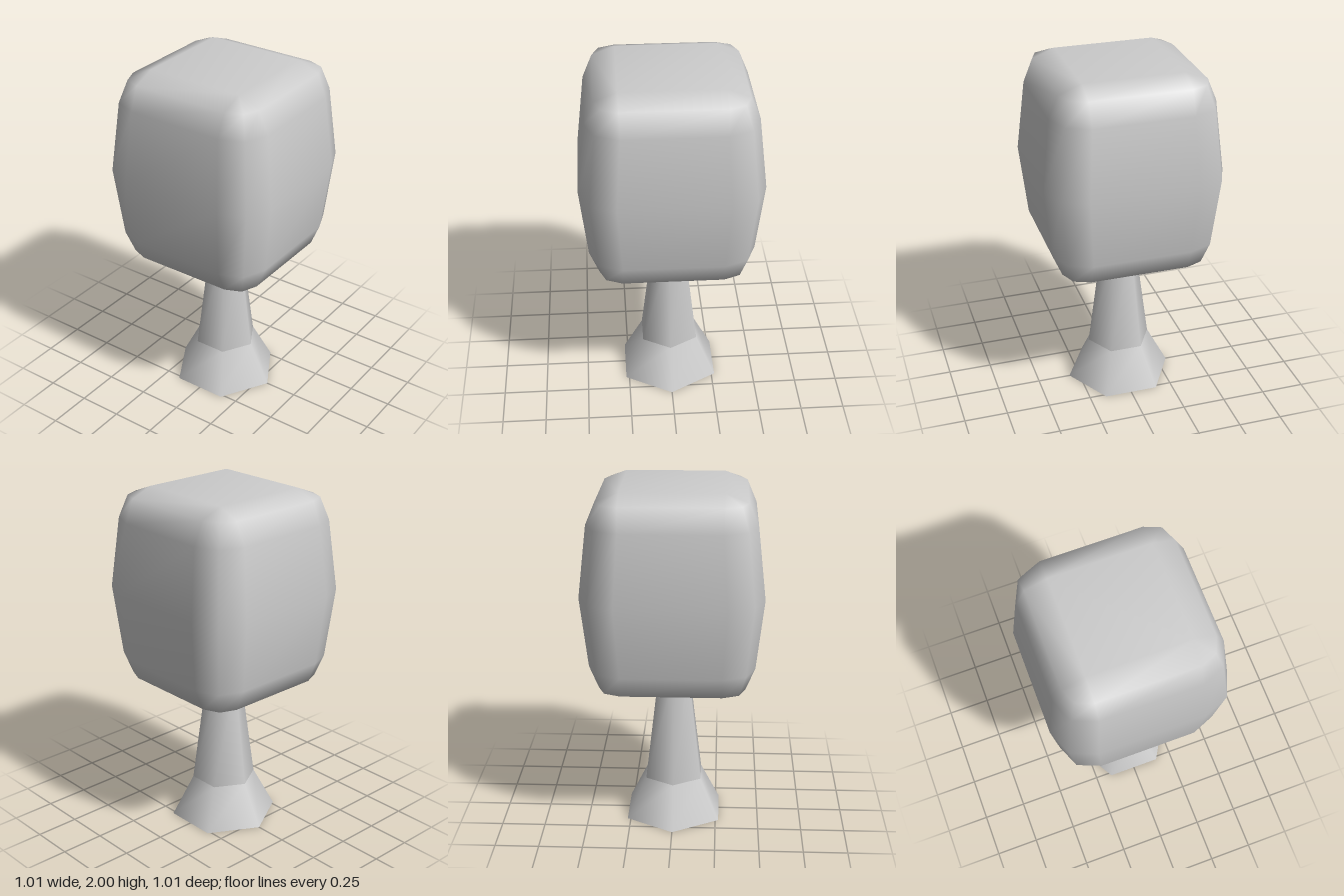
import * as THREE from 'three';
import { mergeVertices } from 'three/addons/utils/BufferGeometryUtils.js';

const material = new THREE.MeshStandardMaterial({ color: 0xcccccc });

// Six-sided trunk section with corners on the x axis
function trunkSection(name, rTop, rBottom, y0, y1, open) {
  const geo = new THREE.CylinderGeometry(rTop, rBottom, y1 - y0, 6, 1, open, Math.PI / 2);
  const mesh = new THREE.Mesh(geo, material);
  mesh.name = name;
  mesh.position.y = (y0 + y1) / 2;
  return mesh;
}

// Bulging rounded block, stacked from 12-point rings
function crownGeometry() {
  // y, half width, start of the rounded corner, corner midpoint
  const rings = [
    [0.845, 0.28, 0.28, 0.28],
    [0.895, 0.407, 0.28, 0.37],
    [1.02, 0.46, 0.277, 0.407],
    [1.423, 0.504, 0.302, 0.445],
    [1.823, 0.46, 0.277, 0.407],
    [1.95, 0.407, 0.28, 0.37],
    [2.0, 0.28, 0.28, 0.28],
  ];
  const positions = [];
  for (const [y, w, s, m] of rings) {
    for (let q = 0; q < 4; q++) {
      for (const [px, pz] of [[w, s], [m, m], [s, w]]) {
        // quarter turns from +x towards +z
        let x = px, z = pz;
        for (let k = 0; k < q; k++) [x, z] = [-z, x];
        positions.push(x, y, z);
      }
    }
  }
  const index = [];
  for (let r = 0; r < rings.length - 1; r++) {
    for (let i = 0; i < 12; i++) {
      const a = r * 12 + i, b = r * 12 + (i + 1) % 12;
      index.push(a, a + 12, b, b, a + 12, b + 12);
    }
  }
  // flat bottom and top
  const t = (rings.length - 1) * 12;
  index.push(0, 3, 6, 0, 6, 9);
  index.push(t, t + 6, t + 3, t, t + 9, t + 6);

  let geo = new THREE.BufferGeometry();
  geo.setAttribute('position', new THREE.Float32BufferAttribute(positions, 3));
  geo.setIndex(index);
  geo = mergeVertices(geo, 1e-4);
  geo.computeVertexNormals();
  return geo;
}

export function createModel() {
  const group = new THREE.Group();
  group.name = 'tree';
  group.add(trunkSection('trunkBase', 0.185, 0.31, 0, 0.24, false));
  group.add(trunkSection('trunk', 0.102, 0.185, 0.24, 0.87, true));

  const crown = new THREE.Mesh(crownGeometry(), material);
  crown.name = 'crown';
  group.add(crown);
  return group;
}
